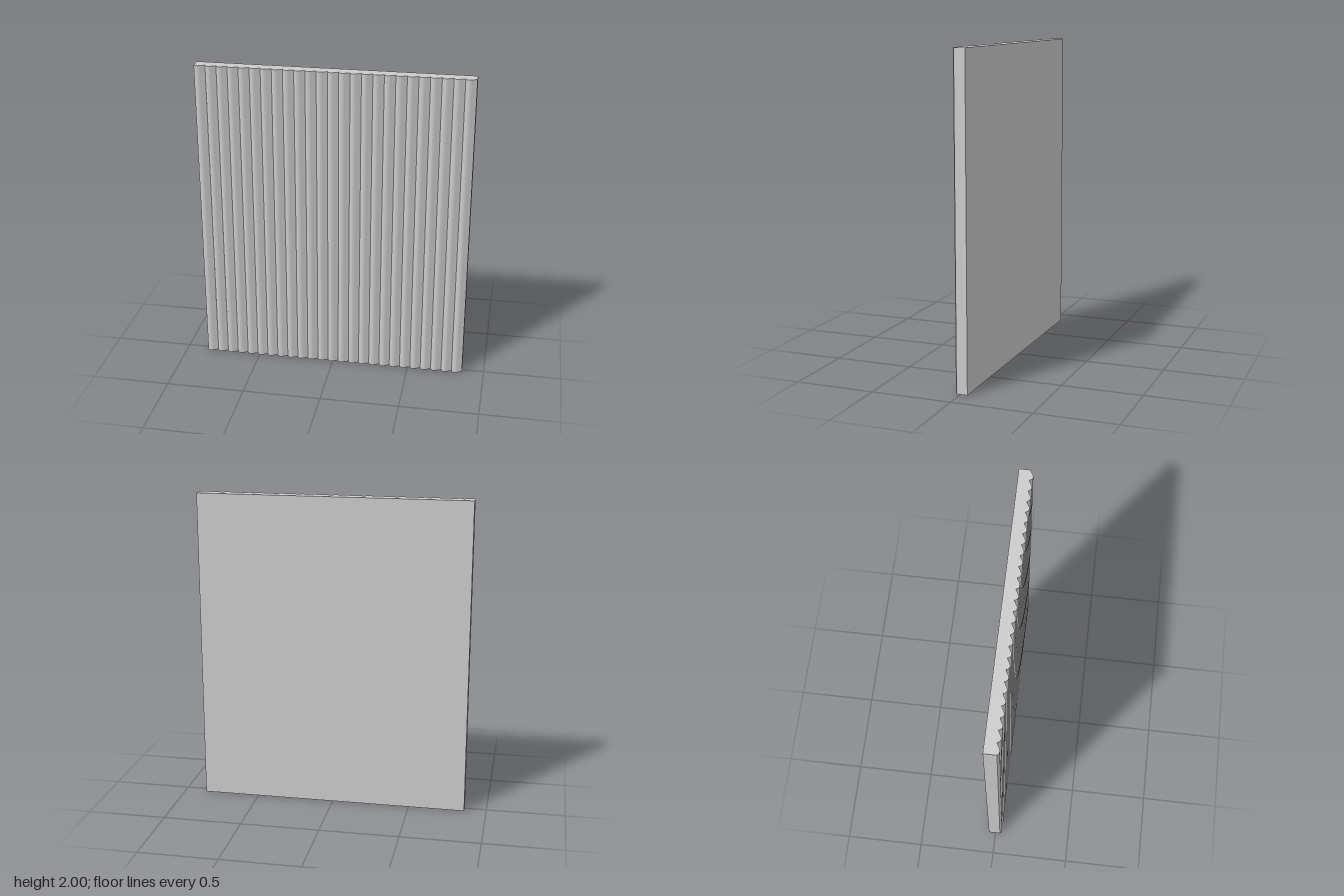
import * as THREE from 'three';
import { toCreasedNormals } from 'three/addons/utils/BufferGeometryUtils.js';

const WIDTH = 1.72, HEIGHT = 2, RIBS = 25;
const BACK = -0.045, VALLEY = 0.023, CREST = 0.045;

export function createModel() {
  const group = new THREE.Group();
  group.name = 'ribbedPanel';
  const pitch = WIDTH / RIBS, left = -WIDTH / 2;

  // Plan outline (shape y is -z): flat back, asymmetric ribs along the front
  const outline = new THREE.Shape();
  outline.moveTo(left, -BACK);
  outline.lineTo(left, -VALLEY - 0.008);
  for (let i = 0; i < RIBS; i++) {
    const x = left + i * pitch;
    // steep, rounded rise to the crest, then a gentle slope to the next valley
    outline.bezierCurveTo(
      x + pitch * 0.08, -CREST + 0.005,
      x + pitch * 0.24, -CREST - 0.001,
      x + pitch * 0.4, -CREST + 0.001);
    outline.quadraticCurveTo(
      x + pitch * 0.52, -CREST + 0.003,
      x + pitch * 0.65, -CREST + 0.009);
    outline.lineTo(x + pitch, -VALLEY);
  }
  outline.lineTo(-left, -BACK);
  outline.closePath();

  const extruded = new THREE.ExtrudeGeometry(outline, {
    depth: HEIGHT, bevelEnabled: false, curveSegments: 6,
  });
  extruded.rotateX(-Math.PI / 2);

  const panel = new THREE.Mesh(
    toCreasedNormals(extruded, Math.PI / 6),
    new THREE.MeshStandardMaterial({ color: 0xcccccc }));
  panel.name = 'panel';
  group.add(panel);
  return group;
}
